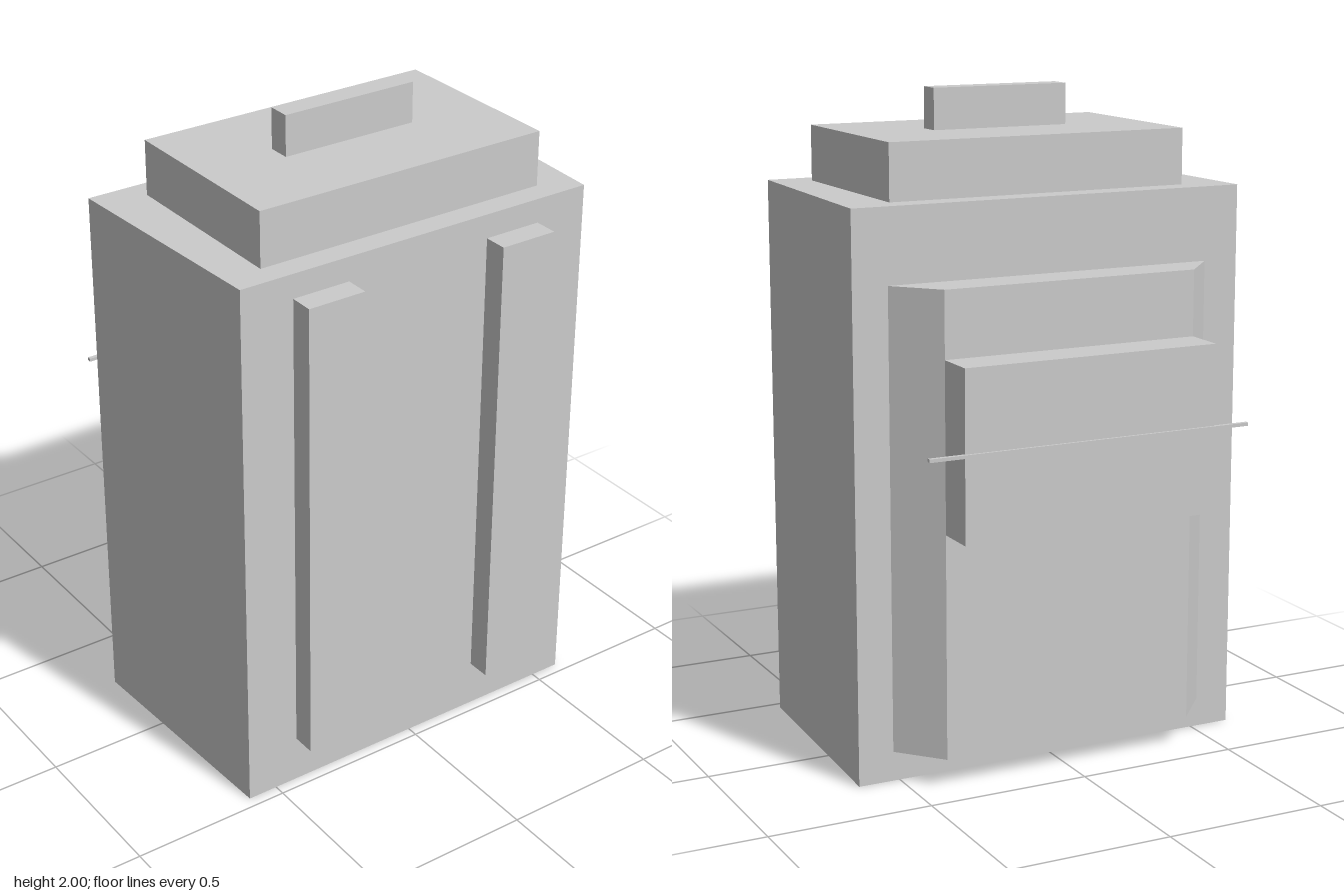
import * as THREE from 'three';

const grey = new THREE.MeshStandardMaterial({ color: 0xcccccc, flatShading: true });
const greyOpen = new THREE.MeshStandardMaterial({ color: 0xcccccc, flatShading: true, side: THREE.DoubleSide });

// Box given by its lower and upper bounds on each axis
function box(name, [x0, x1], [y0, y1], [z0, z1]) {
  const mesh = new THREE.Mesh(new THREE.BoxGeometry(x1 - x0, y1 - y0, z1 - z0), grey);
  mesh.position.set((x0 + x1) / 2, (y0 + y1) / 2, (z0 + z1) / 2);
  mesh.name = name;
  return mesh;
}

// Main body: a box whose front is slightly narrower than its back
function bodyMesh() {
  const mesh = box('body', [-0.63, 0.63], [0, 1.705], [-0.275, 0.465]);
  const p = mesh.geometry.attributes.position;
  for (let i = 0; i < p.count; i++) {
    if (p.getZ(i) > 0) p.setX(i, Math.sign(p.getX(i)) * 0.595);
  }
  mesh.geometry.computeVertexNormals();
  return mesh;
}

// Back panel: bevelled sides, flat face and top, open underneath
function backPanelMesh() {
  const y0 = 0.09, y1 = 1.48;
  const plan = [[0.52, -0.275], [0.405, -0.405], [-0.405, -0.405], [-0.52, -0.275]];
  const pos = [], index = [];
  for (const y of [y0, y1]) for (const [x, z] of plan) pos.push(x, y, z);
  for (let i = 0; i < 3; i++) index.push(i, i + 1, i + 5, i, i + 5, i + 4);
  index.push(4, 5, 6, 4, 6, 7);
  const indexed = new THREE.BufferGeometry();
  indexed.setAttribute('position', new THREE.Float32BufferAttribute(pos, 3));
  indexed.setIndex(index);
  const geometry = indexed.toNonIndexed();
  geometry.computeVertexNormals();
  const mesh = new THREE.Mesh(geometry, greyOpen);
  mesh.name = 'backPanel';
  return mesh;
}

export function createModel() {
  const model = new THREE.Group();
  model.name = 'backpack';
  model.add(bodyMesh(), backPanelMesh());

  // Lid and carrying handle
  model.add(box('lid', [-0.48, 0.48], [1.705, 1.875], [-0.2, 0.39]));
  model.add(box('handle', [-0.22, 0.22], [1.875, 2], [0.06, 0.13]));

  // Shoulder straps
  model.add(box('leftStrap', [0.24, 0.425], [0.15, 1.63], [0.465, 0.54]));
  model.add(box('rightStrap', [-0.425, -0.24], [0.15, 1.63], [0.465, 0.54]));

  // Pocket with a thin rod across it
  model.add(box('pocket', [-0.405, 0.405], [0.77, 1.28], [-0.405, -0.535]
    .sort((a, b) => a - b)));
  model.add(box('rod', [-0.517, 0.517], [1.025, 1.035], [-0.543, -0.53]));
  return model;
}
